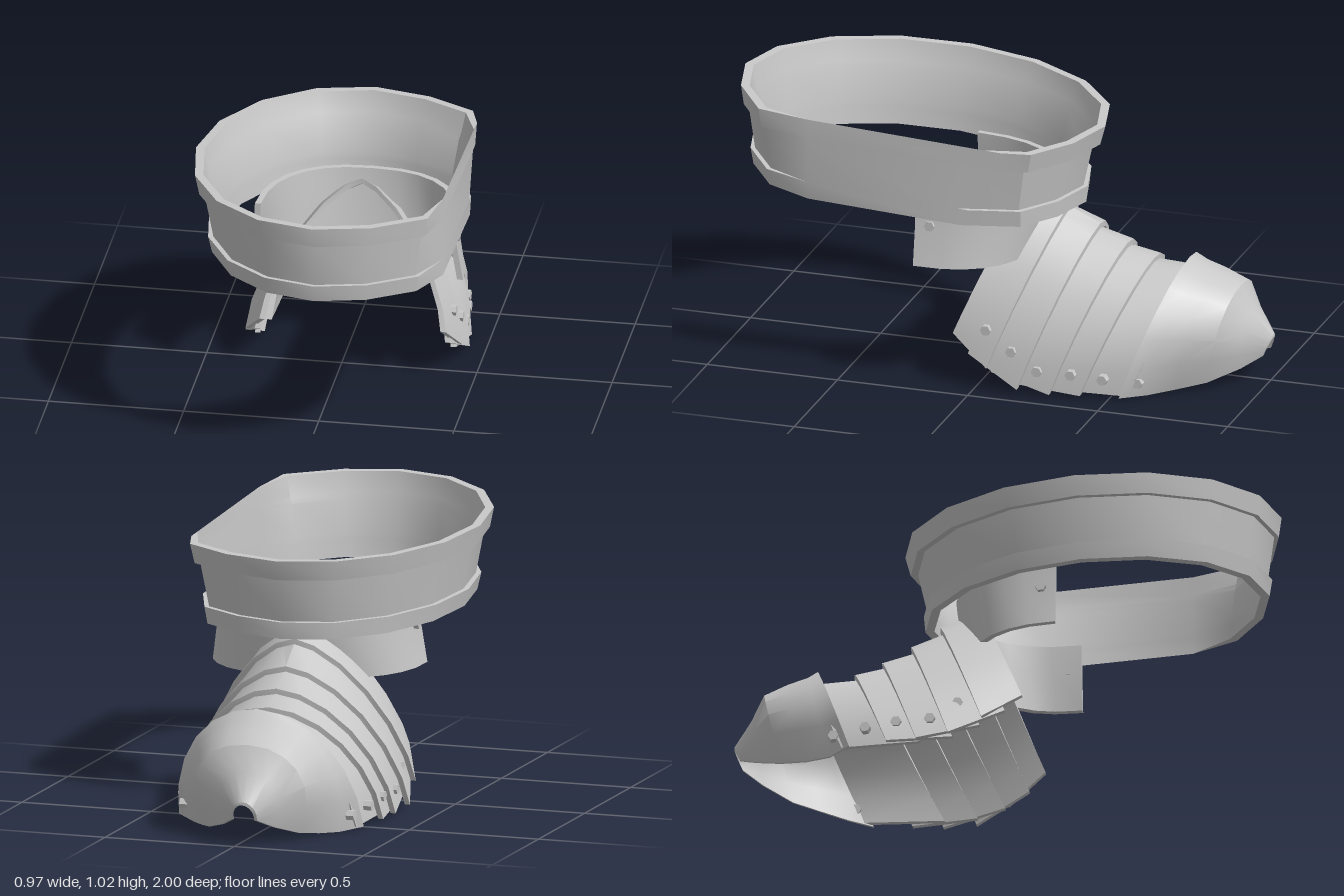
import * as THREE from 'three';
import { toCreasedNormals } from 'three/addons/utils/BufferGeometryUtils.js';

const steel = new THREE.MeshStandardMaterial({ color: 0xc8c8c8 });
steel.name = 'steel grey';

// Thick sheet: outer and inner rows of points joined into one closed skin.
// 'closed' joins the last column to the first; otherwise the two ends are capped.
function sheet(name, outer, inner, closed = false) {
  const pos = [];
  const quad = (a, b, c, d) => pos.push(...a, ...b, ...c, ...a, ...c, ...d);
  const rows = [...outer, ...[...inner].reverse()];
  const cols = outer[0].length;
  rows.forEach((r, j) => {
    const s = rows[(j + 1) % rows.length];
    for (let i = 0; i < (closed ? cols : cols - 1); i++) {
      const k = (i + 1) % cols;
      quad(r[i], s[i], s[k], r[k]);
    }
  });
  if (!closed) {
    const e = cols - 1;
    for (let j = 0; j < outer.length - 1; j++) {
      quad(outer[j][0], inner[j][0], inner[j + 1][0], outer[j + 1][0]);
      quad(outer[j][e], outer[j + 1][e], inner[j + 1][e], inner[j][e]);
    }
  }
  const geo = new THREE.BufferGeometry();
  geo.setAttribute('position', new THREE.Float32BufferAttribute(pos, 3));
  const mesh = new THREE.Mesh(toCreasedNormals(geo, 0.6), steel);
  mesh.name = name;
  return mesh;
}

// Leaning arch from the +x foot over the crown to the -x foot.
// n shapes it: low is pointed, 2 is round. curl tucks the feet inwards.
function arch([cx, hw, yb, yt, zb, zt, n, curl = 0], inset = 0) {
  const pts = [], steps = 12, p = 2 / n;
  for (let i = 0; i <= steps; i++) {
    const a = Math.PI * i / steps, c = Math.cos(a);
    const v = Math.max(0, Math.sin(a)) ** p;
    const u = Math.sign(c) * Math.abs(c) ** p * (1 - curl * (1 - v) ** 2);
    pts.push([cx + u * (hw - inset), yb + v * (yt - yb - inset), zb + v * (zt - zb)]);
  }
  return pts;
}

function archPlate(name, sections, thickness) {
  return sheet(name, sections.map(s => arch(s)), sections.map(s => arch(s, thickness)));
}

// One level of the sloping oval band, cut flat on the +x side
function bandRow([rx, rz, cz, y]) {
  const cut = 0.48;
  const at = k => {
    const a = k * Math.PI / 8;
    return [0.06 + rx * Math.cos(a), cz - rz * Math.sin(a)];
  };
  const [p, q] = [at(2), at(1)];
  const pts = [[cut, p[1] + (cut - p[0]) / (q[0] - p[0]) * (q[1] - p[1])]];
  for (let k = 2; k <= 14; k++) pts.push(at(k));
  pts.push([cut, 0.62]);
  // the two corners beside the flat are drawn out a little
  pts[1][1] -= 0.045;
  pts[13][0] += 0.01;
  pts[13][1] += 0.02;
  return pts.map(([x, z]) => [x, y + 0.056 * (z - 0.3), z]);
}

// One level of the half-oval hanging collar, slightly squared at the back
function collarRow([rx, rz, y]) {
  const pts = [];
  for (let i = 0; i <= 14; i++) {
    const a = Math.PI * i / 14, c = Math.cos(a);
    const z = 0.215 - rz * Math.max(0, Math.sin(a)) ** 0.84;
    pts.push([0.085 + rx * Math.sign(c) * Math.abs(c) ** 0.84, y + 0.03 * z, z]);
  }
  return pts;
}

function rivet(name, x, y, z) {
  const m = new THREE.Mesh(new THREE.CylinderGeometry(0.02, 0.02, 0.03, 6).toNonIndexed(), steel);
  m.geometry.computeVertexNormals();
  m.rotation.z = Math.PI / 2;
  m.position.set(x, y, z);
  m.name = name;
  return m;
}

export function createModel() {
  const model = new THREE.Group();
  model.name = 'plateArmour';

  // Oval band with a raised lip at top and bottom: [radius x, radius z, centre z, y]
  const bandOuter = [
    [0.547, 0.692, 0.308, 0.98], [0.53, 0.677, 0.313, 0.905],
    [0.51, 0.655, 0.318, 0.905], [0.475, 0.625, 0.325, 0.735],
    [0.495, 0.641, 0.325, 0.735], [0.48, 0.633, 0.323, 0.672],
  ];
  const bandInner = [
    [0.515, 0.66, 0.308, 0.98], [0.495, 0.641, 0.313, 0.905],
    [0.485, 0.632, 0.316, 0.88], [0.46, 0.608, 0.323, 0.76],
    [0.457, 0.605, 0.323, 0.735], [0.45, 0.6, 0.323, 0.672],
  ];
  model.add(sheet('ovalBand', bandOuter.map(bandRow), bandInner.map(bandRow), true));

  // Collar hanging inside the band
  const collarOuter = [[0.37, 0.41, 0.72], [0.375, 0.395, 0.62], [0.4, 0.365, 0.472]];
  const collarInner = collarOuter.map(([rx, rz, y]) => [rx - 0.022, rz - 0.022, y]);
  model.add(sheet('collar', collarOuter.map(collarRow), collarInner.map(collarRow)));

  // Overlapping plates: front and rear arch of each
  // [centre x, half width, foot y, crown y, foot z, crown z, roundness]
  const lames = [
    [[0.055, 0.345, 0.2, 0.7, 0.09, -0.11, 1.45], [0.035, 0.4, 0.09, 0.63, -0.05, -0.25, 1.6]],
    [[0.045, 0.362, 0.13, 0.635, 0.03, -0.18, 1.52], [0.03, 0.415, 0.025, 0.548, -0.17, -0.355, 1.7]],
    [[0.04, 0.372, 0.07, 0.55, -0.06, -0.28, 1.63], [0.03, 0.402, 0.015, 0.485, -0.29, -0.46, 1.8]],
    [[0.035, 0.367, 0.03, 0.485, -0.16, -0.38, 1.74], [0.022, 0.385, 0.015, 0.435, -0.4, -0.56, 1.9]],
    [[0.03, 0.357, 0.02, 0.425, -0.28, -0.48, 1.85], [0.018, 0.338, 0.015, 0.405, -0.57, -0.73, 1.95]],
  ];
  lames.forEach((s, i) => model.add(archPlate('lame' + (i + 1), s, 0.02)));

  // Tapering end cap with tucked-in lower edges and a small open tip
  model.add(archPlate('endCap', [
    [0.02, 0.358, 0.012, 0.455, -0.54, -0.695, 2],
    [0.01, 0.34, 0.003, 0.428, -0.62, -0.725, 2.1, 0.17],
    [0, 0.3, 0.012, 0.4, -0.71, -0.8, 2.2, 0.25],
    [-0.008, 0.258, 0.03, 0.36, -0.81, -0.885, 2.3, 0.32],
    [-0.025, 0.145, 0.065, 0.27, -0.91, -0.93, 2.2, 0.28],
    [-0.03, 0.055, 0.1, 0.17, -0.975, -1, 2, 0.1],
  ], 0.012));

  // Rivet pairs: [z, y, centre x, half spacing]
  const rivets = [
    [0.16, 0.63, 0.08, 0.37], [-0.04, 0.23, 0.055, 0.348], [-0.14, 0.16, 0.04, 0.372],
    [-0.24, 0.096, 0.033, 0.382], [-0.365, 0.093, 0.03, 0.373],
    [-0.48, 0.08, 0.023, 0.358], [-0.6, 0.065, 0.012, 0.322],
  ];
  rivets.forEach(([z, y, cx, half], i) => {
    model.add(rivet('leftRivet' + (i + 1), cx + half, y, z));
    model.add(rivet('rightRivet' + (i + 1), cx - half, y, z));
  });
  return model;
}
